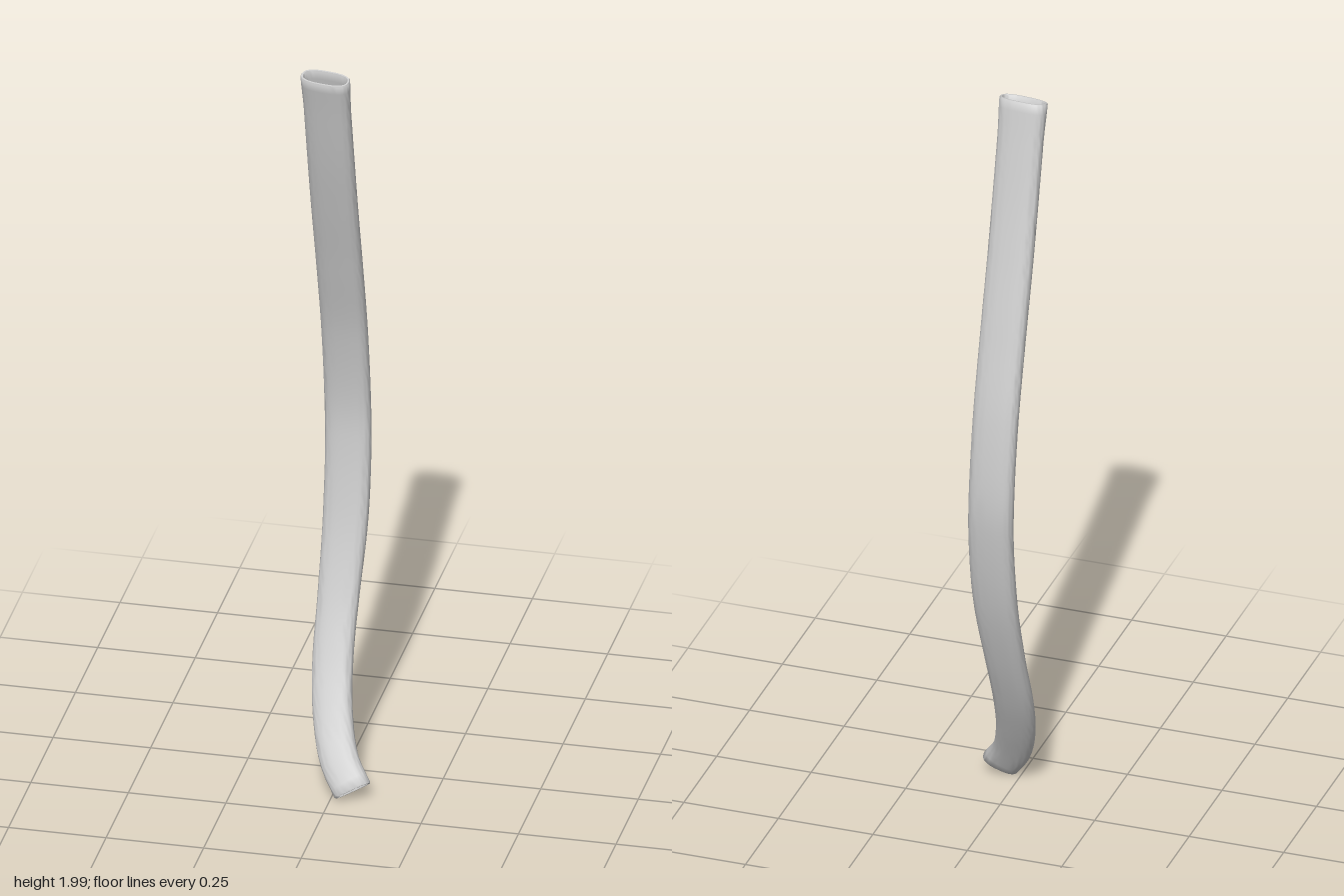
import * as THREE from 'three';
import { toCreasedNormals } from 'three/addons/utils/BufferGeometryUtils.js';

const STEPS = 80, SIDES = 36, WALL = 0.008;

// Centre line, from the upper opening to the lower one
const path = new THREE.CatmullRomCurve3([
  [-0.034, 1.993, 0.081], [-0.033, 1.74, 0.022], [-0.033, 1.58, -0.02],
  [-0.032, 1.39, -0.072], [-0.031, 1.18, -0.124], [-0.029, 0.97, -0.15],
  [-0.026, 0.84, -0.143], [-0.026, 0.65, -0.11], [-0.031, 0.47, -0.055],
  [-0.031, 0.32, 0.008], [-0.017, 0.2, 0.07], [0.013, 0.1, 0.127], [0.055, 0.037, 0.162],
].map((p) => new THREE.Vector3(...p)));

// Section values along the path: [t, half width, half depth, twist]
const sections = [
  [0, 0.064, 0.029, 0.12], [0.05, 0.061, 0.028, 0.12], [0.5, 0.06, 0.028, 0.12],
  [0.62, 0.059, 0.028, 0.1], [0.8, 0.052, 0.026, 0.05], [1, 0.049, 0.025, 0],
];
function sectionAt(t) {
  let k = 0;
  while (k < sections.length - 2 && t > sections[k + 1][0]) k++;
  const a = sections[k], b = sections[k + 1];
  const f = THREE.MathUtils.smoothstep(t, a[0], b[0]);
  return [1, 2, 3].map((c) => a[c] + (b[c] - a[c]) * f);
}

// One flattened loop across the path, inset from the outer surface
function addLoop(positions, t, inset) {
  const [halfWidth, halfDepth, twist] = sectionAt(t);
  const centre = path.getPointAt(t), tangent = path.getTangentAt(t);
  const wide = new THREE.Vector3(Math.cos(twist), 0, Math.sin(twist));
  wide.addScaledVector(tangent, -wide.dot(tangent)).normalize();
  const deep = new THREE.Vector3().crossVectors(tangent, wide);
  const soft = (v) => Math.sign(v) * Math.abs(v) ** 0.75;
  for (let j = 0; j < SIDES; j++) {
    const a = (j / SIDES) * Math.PI * 2;
    const p = centre.clone()
      .addScaledVector(wide, soft(Math.cos(a)) * (halfWidth - inset))
      .addScaledVector(deep, soft(Math.sin(a)) * (halfDepth - inset));
    positions.push(p.x, p.y, p.z);
  }
}

function hollowTube() {
  // Outside going down, then the inside coming back up; lips slightly rounded
  const loops = [[0, WALL * 0.25], [0.0015, 0]];
  for (let i = 1; i < STEPS; i++) loops.push([i / STEPS, 0]);
  loops.push([0.9985, 0], [1, WALL * 0.25], [1, WALL * 0.75], [0.9985, WALL]);
  for (let i = STEPS - 1; i > 0; i--) loops.push([i / STEPS, WALL]);
  loops.push([0.0015, WALL], [0, WALL * 0.75]);

  const positions = [], index = [];
  loops.forEach(([t, inset]) => addLoop(positions, t, inset));
  for (let i = 0; i < loops.length; i++) {
    const n = (i + 1) % loops.length;
    for (let j = 0; j < SIDES; j++) {
      const k = (j + 1) % SIDES;
      const a = i * SIDES + j, b = i * SIDES + k, c = n * SIDES + j, d = n * SIDES + k;
      index.push(a, b, c, b, d, c);
    }
  }
  const geometry = new THREE.BufferGeometry();
  geometry.setAttribute('position', new THREE.Float32BufferAttribute(positions, 3));
  geometry.setIndex(index);
  return toCreasedNormals(geometry, 0.9);
}

export function createModel() {
  const group = new THREE.Group();
  group.name = 'curvedTube';
  const tube = new THREE.Mesh(hollowTube(), new THREE.MeshStandardMaterial({ color: 0xcccccc }));
  tube.name = 'flattenedHollowTube';
  group.add(tube);
  return group;
}
